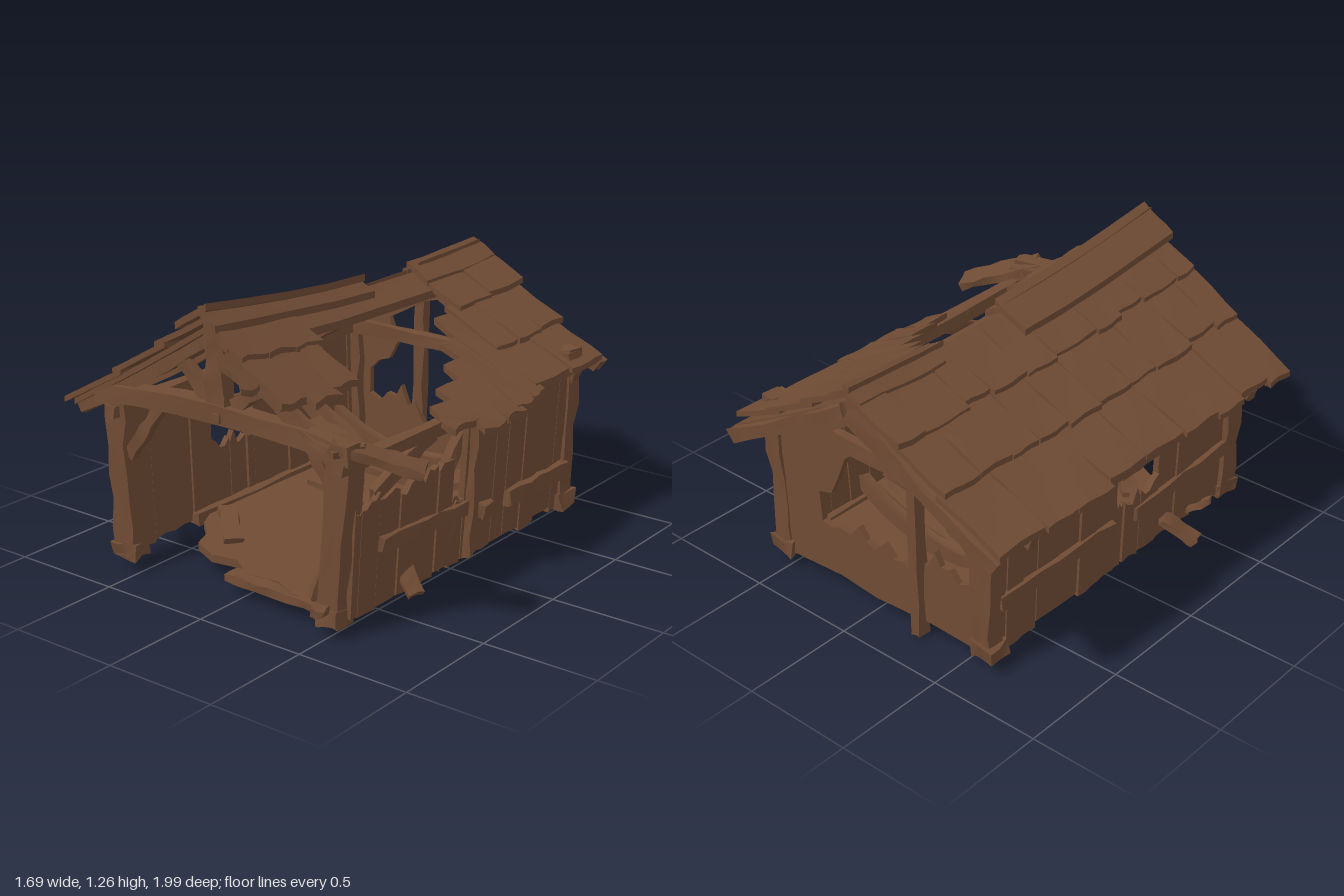
import * as THREE from 'three';

const wood = new THREE.MeshStandardMaterial({ color: 0x6f4b34, side: THREE.DoubleSide });
wood.name = 'weathered brown wood';

export function createModel() {
  const root = new THREE.Group();
  root.name = 'ruinedShed';
  let seed = 7;
  const rnd = () => (seed = (seed * 16807) % 2147483647) / 2147483647;
  const jit = (a) => (rnd() - 0.5) * 2 * a;
  const V = (p) => new THREE.Vector3(...p);

  function add(name, geo) {
    geo.computeVertexNormals();
    const mesh = new THREE.Mesh(geo, wood);
    mesh.name = name;
    root.add(mesh);
  }

  // Move every vertex by a rule
  function warp(geo, rule) {
    const p = geo.attributes.position, v = new THREE.Vector3();
    for (let i = 0; i < p.count; i++) {
      rule(v.fromBufferAttribute(p, i));
      p.setXYZ(i, v.x, v.y, v.z);
    }
    return geo;
  }

  // Rough timber from a to b; bow lifts the middle along world y
  function beam(name, a, b, w, h, bow = 0, rough = 0.005) {
    const A = V(a), B = V(b), d = B.clone().sub(A), len = d.length();
    d.normalize();
    const up = Math.abs(d.y) > 0.95 ? V([0, 0, 1]) : V([0, 1, 0]);
    const x = up.cross(d).normalize(), y = d.clone().cross(x);
    const ph = rnd() * 20;
    const geo = warp(new THREE.BoxGeometry(w, h, len, 2, 1, 6), (v) => {
      const n = (k) => Math.sin(v.x * 91 * k + v.y * 57 + v.z * 23 * k + ph * k);
      v.x += rough * n(1);
      v.y += rough * n(1.7);
      v.z += rough * 1.5 * n(2.6);
    });
    geo.applyMatrix4(new THREE.Matrix4().makeBasis(x, y, d).setPosition(A.clone().add(B).multiplyScalar(0.5)));
    warp(geo, (v) => {
      const s = v.clone().sub(A).dot(d) / len - 0.5;
      v.y += bow * (1 - 4 * s * s);
    });
    add(name, geo);
  }

  // Sagging roof surface: t runs from ridge (0) to eave (1)
  const ridgeX = -0.05;
  const ridgeY = (z) => 1.052 + 0.054 * (z + 0.45) ** 2;
  function roofPoint(side, t, z) {
    const r = ridgeY(z);
    return [ridgeX + side * t * (side < 0 ? 0.77 : 0.69), r - t * (r - 0.685) - 0.008 * Math.sin(Math.PI * Math.min(t, 1))];
  }
  function slab(name, side, t0, t1, z0, z1, lift, thick, tilt = 0, rough = 0) {
    const ph = rnd() * 9;
    add(name, warp(new THREE.BoxGeometry(1, 1, 1, 4, 1, 4), (v) => {
      const s = side * v.x + 0.5;
      const t = t0 + (t1 - t0) * s + rough * Math.sin(v.z * 6 + ph) * s;
      const z = z0 + (z1 - z0) * (v.z + 0.5) + rough * Math.sin(s * 6 + ph);
      const [x, y] = roofPoint(side, t, z);
      v.set(x, y + lift + tilt * s + thick * (v.y + 0.5) + rough * 0.3 * Math.sin(z * 17 + s * 4 + ph), z);
    }));
  }
  // Overlapping courses of broad shingles
  function shingles(side, t0, t1, z0, z1, lift) {
    let z = z0;
    while (z < z1 - 0.02) {
      const e = z1 - z < 0.3 ? z1 : z + 0.13 + rnd() * 0.14;
      slab('roofShingle', side, t0, t1 + jit(0.02), z, e - 0.004, lift + jit(0.004), 0.025, 0.01 + rnd() * 0.01, 0.005);
      z = e;
    }
  }

  // Intact left roof
  slab('leftRoofDeck', -1, 0, 0.97, -0.95, 0.86, -0.015, 0.025);
  shingles(-1, 0.6, 1.01, -0.98, 0.88, 0.008);
  shingles(-1, 0.28, 0.65, -0.97, 0.88, 0.018);
  shingles(-1, 0, 0.34, -0.98, 0.87, 0.026);

  // Right roof: whole at the back, torn open diagonally, remnants at the front
  slab('rightRoofDeck', 1, 0, 0.97, -0.95, -0.5, -0.015, 0.025);
  shingles(1, 0.64, 1.01, -0.92, -0.4, 0.008);
  shingles(1, 0.3, 0.7, -0.95, -0.42, 0.018);
  shingles(1, 0, 0.36, -0.98, -0.46, 0.026);
  [[-0.43, -0.31, 0.34, 1.05], [-0.32, -0.2, 0.5, 1.08], [-0.21, -0.07, 0.64, 1.1], [-0.08, 0.08, 0.76, 1.12], [0.07, 0.23, 0.85, 1.03]]
    .forEach(([z0, z1, t0, t1]) => slab('tornEaveBoard', 1, t0, t1, z0, z1, 0.005, 0.028, 0.008, 0.012));
  slab('frontRoofDeck', 1, 0, 0.53, 0.45, 0.87, -0.01, 0.025);
  [[0.42, 0.58, 0.55], [0.57, 0.74, 0.6], [0.73, 0.88, 0.56]]
    .forEach(([z0, z1, t1]) => {
      slab('frontRoofBoard', 1, 0.22, t1, z0, z1, 0.005, 0.028, 0.008, 0.012);
      slab('frontRoofBoard', 1, 0.02, 0.28, z0 - 0.01, z1, 0.02, 0.025, 0.01, 0.01);
    });
  slab('loosePeakBoard', 1, 0.22, 0.4, 0.82, 0.98, 0.02, 0.025, -0.03, 0.02);
  slab('ridgeStrip', 1, 0, 0.17, -0.5, 0.88, 0.0, 0.035, 0, 0.008);

  // Ridge boards
  slab('ridgeCap', -1, -0.03, 0.18, -0.1, 0.89, 0.058, 0.03, 0, 0.005);
  slab('ridgeCap', 1, -0.02, 0.1, -0.1, 0.9, 0.045, 0.03, 0, 0.005);
  slab('rearRidgeCap', 1, -0.03, 0.14, -0.98, -0.46, 0.042, 0.025, 0, 0.006);
  slab('rearRidgeCap', -1, -0.02, 0.1, -0.97, -0.5, 0.042, 0.025, 0, 0.006);
  beam('ridgeBeam', [ridgeX, ridgeY(-0.9) - 0.05, -0.9], [ridgeX, ridgeY(0.84) - 0.05, 0.84], 0.06, 0.06, -0.035);

  // Rafters and barge boards
  for (const side of [-1, 1]) {
    for (const z of [-0.965, -0.76, 0.66, 0.81]) {
      const top = roofPoint(side, 0.02, z), end = roofPoint(side, z < 0 || side < 0 ? 0.97 : 0.86, z);
      beam(z < -0.9 ? 'bargeBoard' : 'rafter', [top[0], top[1] - 0.03, z], [end[0], end[1] - 0.03, z], 0.05, 0.06, -0.01);
    }
  }
  beam('insideRafter', [-0.08, 1.01, 0.1], [-0.6, 0.69, 0.1], 0.045, 0.045);
  beam('insideRafter', [-0.08, 0.99, -0.35], [-0.6, 0.69, -0.35], 0.045, 0.045);

  // Corner posts with foot blocks
  [[-0.575, -0.605, 0.78, 0.1], [0.49, 0.56, 0.78, 0.1], [-0.58, -0.595, -0.775, 0.08], [0.535, 0.57, -0.775, 0.08]].forEach(([xb, xt, z, w]) => {
    beam('cornerPost', [xb, 0.05, z], [xt, 0.78, z], w, w, 0, 0.007);
    beam('footBlock', [xb - 0.055, 0.075, z], [xb + 0.055, 0.08, z], 0.11, 0.07, 0, 0.008);
    beam('postCap', [xt - 0.05, 0.74, z + 0.015], [xt + 0.05, 0.75, z + 0.015], 0.1, 0.06);
  });

  // Front truss
  beam('frontTieBeam', [-0.67, 0.76, 0.82], [0.62, 0.77, 0.82], 0.08, 0.075, 0.035);
  beam('kingPost', [-0.025, 0.81, 0.82], [-0.03, 1.13, 0.82], 0.09, 0.07);
  beam('trussStrut', [-0.08, 0.83, 0.8], [-0.25, 0.98, 0.8], 0.05, 0.055);
  beam('trussStrut', [0.03, 0.83, 0.8], [0.2, 0.95, 0.8], 0.05, 0.055);
  beam('kneeBrace', [-0.55, 0.5, 0.79], [-0.36, 0.76, 0.79], 0.045, 0.05);
  beam('kneeBrace', [0.51, 0.58, 0.79], [0.4, 0.76, 0.79], 0.045, 0.05);
  beam('peg', [-0.01, 0.79, 0.84], [-0.01, 0.79, 0.87], 0.035, 0.035, 0, 0.002);

  // Eave beams, sills and rear frame
  beam('leftEaveBeam', [-0.6, 0.69, -0.84], [-0.6, 0.69, 0.86], 0.06, 0.055);
  beam('rightEaveBeam', [0.575, 0.7, -0.84], [0.575, 0.715, 0.86], 0.06, 0.055, -0.01);
  beam('leftSill', [-0.57, 0.08, -0.8], [-0.57, 0.08, 0.4], 0.05, 0.05);
  beam('rightSill', [0.525, 0.08, -0.8], [0.525, 0.08, 0.78], 0.05, 0.05);
  beam('rearTieBeam', [-0.58, 0.69, -0.745], [0.55, 0.69, -0.745], 0.05, 0.06);
  beam('rearStud', [-0.245, 0, -0.81], [-0.245, 0.93, -0.825], 0.05, 0.05);

  // Rear gable wall with a ragged hole
  const pts = (list) => list.map(([x, y]) => new THREE.Vector2(x, y));
  const gable = new THREE.Shape(pts([[-0.6, 0.06], [-0.3, 0.07], [0, 0.05], [0.2, 0.07], [0.55, 0.05], [0.58, 0.71], [0.25, 0.86], [-0.05, 1.04], [-0.35, 0.87], [-0.61, 0.73]]));
  gable.holes.push(new THREE.Path(pts([
    [-0.51, 0.36], [-0.45, 0.33], [-0.41, 0.38], [-0.36, 0.37], [-0.33, 0.43], [-0.29, 0.34], [-0.25, 0.36], [-0.2, 0.27], [-0.15, 0.3],
    [-0.1, 0.29], [-0.05, 0.34], [0, 0.29], [0.05, 0.31], [0.09, 0.36], [0.14, 0.3], [0.2, 0.31], [0.24, 0.29], [0.3, 0.3], [0.31, 0.44], [0.24, 0.46],
    [0.2, 0.54], [0.15, 0.66], [0.24, 0.75], [0.1, 0.84], [-0.05, 0.9], [-0.2, 0.86], [-0.4, 0.75], [-0.35, 0.64], [-0.4, 0.55], [-0.46, 0.53], [-0.51, 0.48]])));
  add('rearGableWall', new THREE.ExtrudeGeometry(gable, { depth: 0.028, bevelEnabled: false }).translate(0, 0, -0.805));

  // Side wall boards with splintered tops
  function board(side, z0, z1, top, jag) {
    const y0 = 0.06 + jit(0.015), w = z1 - z0 - 0.004;
    const outline = [[z0, y0], [z0 + w * 0.5, y0 + jit(0.012)], [z0 + w, y0 + jit(0.01)]];
    for (let i = 4; i >= 0; i--) outline.push([z0 + (w * i) / 4, top + jit(jag)]);
    const geo = new THREE.ExtrudeGeometry(new THREE.Shape(pts(outline)), { depth: 0.028, bevelEnabled: false });
    geo.rotateY(-Math.PI / 2);
    const out = jit(0.006);
    warp(geo, (v) => { v.x += side < 0 ? -0.58 - 0.03 * v.y + out : 0.558 + 0.06 * v.y + out; });
    add(side < 0 ? 'leftWallBoard' : 'rightWallBoard', geo);
  }
  const leftTop = (z) => (z > 0 && z < 0.22 ? 0.37 : z > -0.46 && z < -0.26 ? 0.52 : 0.69);
  const rightTop = (z) => (z < 0.03 ? 0.68 : z < 0.17 ? 0.34 : 0.52);
  for (const [side, topAt] of [[-1, leftTop], [1, rightTop]]) {
    for (let z = -0.8, e; z < 0.76; z = e) {
      e = Math.min(z + 0.09 + rnd() * 0.05, 0.77);
      if (z < 0.03 && e > 0.03) e = 0.03;
      const top = topAt((z + e) / 2);
      board(side, z, e, top, top > 0.6 ? 0.006 : 0.035);
    }
  }
  beam('rightFrontRail', [0.585, 0.33, 0.6], [0.585, 0.3, 0.03], 0.035, 0.06);
  beam('rightRearRail', [0.585, 0.24, -0.29], [0.585, 0.24, -0.75], 0.04, 0.07);
  beam('rightWallBrace', [0.56, 0.53, 0.62], [0.57, 0.68, 0.25], 0.03, 0.06);
  beam('rightLeaningBoard', [0.55, 0.08, 0.2], [0.57, 0.34, 0.06], 0.03, 0.06);
  beam('rightBatten', [0.57, 0.07, 0.0], [0.605, 0.67, 0.0], 0.06, 0.025);
  beam('rightPatch', [0.58, 0.21, -0.13], [0.585, 0.27, -0.13], 0.03, 0.07);
  beam('leftRail', [-0.62, 0.3, -0.75], [-0.62, 0.29, -0.05], 0.035, 0.06);
  beam('leftRail', [-0.62, 0.28, 0.1], [-0.62, 0.31, 0.75], 0.035, 0.06);
  beam('leftUpperRail', [-0.62, 0.52, 0.0], [-0.62, 0.54, 0.3], 0.03, 0.05);

  // Floor slab with its front left corner broken away
  const floor = new THREE.Shape(pts([[-0.57, 0.79], [-0.57, -0.28], [-0.5, -0.42], [-0.41, -0.5], [-0.37, -0.6], [-0.24, -0.66], [-0.12, -0.64], [0, -0.72], [0.15, -0.7], [0.27, -0.76], [0.4, -0.72], [0.52, -0.76], [0.54, 0.79]]));
  add('floor', new THREE.ExtrudeGeometry(floor, { depth: 0.035, bevelEnabled: false }).rotateX(-Math.PI / 2).translate(0, 0.055, 0));
  beam('frontThreshold', [-0.08, 0.07, 0.73], [0.42, 0.07, 0.75], 0.07, 0.035);

  // Fallen timbers inside
  beam('saggingPlank', [-0.52, 0.32, -0.55], [0.36, 0.32, -0.5], 0.05, 0.06, -0.12);
  beam('saggingPlank', [-0.5, 0.22, -0.42], [0.38, 0.24, -0.35], 0.1, 0.03, -0.07);
  for (let i = 0; i < 9; i++) {
    const x = 0.25 + jit(0.15), z = -0.32 + i * 0.1, a = jit(1.3), l = 0.1 + rnd() * 0.12;
    const dx = Math.cos(a) * l, dz = Math.sin(a) * l;
    beam('fallenPlank', [x - dx, 0.1 + rnd() * 0.03, z - dz], [Math.min(x + dx, 0.5), 0.12 + rnd() * 0.06, z + dz], 0.07, 0.022);
  }
  beam('fallenPlank', [-0.42, 0.16, 0.36], [-0.24, 0.1, 0.52], 0.08, 0.025);
  beam('fallenPlank', [-0.4, 0.12, -0.2], [0.1, 0.13, -0.1], 0.07, 0.025);
  [[0.36, 0.75, 0.44, 0.4], [0.4, 0.68, 0.47, 0.58], [0.44, 0.55, 0.52, 0.5], [0.34, 0.6, 0.42, 0.3], [0.42, 0.4, 0.52, 0.46]]
    .forEach(([x, z, tx, ty]) => beam('leaningPlank', [x, 0.09, z], [tx, ty, z - 0.08], 0.05, 0.025));
  beam('fallenRafter', [0.05, 0.13, 0.26], [0.3, 0.25, 0.0], 0.07, 0.04);
  beam('fallenRafter', [0.36, 0.12, 0.05], [0.46, 0.65, -0.2], 0.06, 0.04);
  beam('brokenBoard', [0.08, 0.12, -0.25], [0.4, 0.28, -0.3], 0.11, 0.025);
  beam('brokenBoard', [0.35, 0.3, 0.52], [0.53, 0.36, 0.5], 0.08, 0.03);

  // Loose planks outside and at the front corner
  beam('hangingEavePlank', [0.36, 0.82, 0.77], [0.6, 0.77, 0.82], 0.15, 0.03);
  beam('hangingEavePlank', [0.52, 0.8, 0.83], [0.81, 0.69, 0.63], 0.14, 0.035);
  beam('outerScrap', [0.52, 0.17, 0.4], [0.64, 0.08, 0.44], 0.08, 0.025);
  beam('outerScrap', [-0.62, 0.16, 0.3], [-0.76, 0.07, 0.36], 0.08, 0.03);
  beam('outerScrap', [-0.62, 0.1, 0.5], [-0.71, 0.17, 0.52], 0.05, 0.02);
  beam('outerScrap', [0.46, 0.11, 0.74], [0.5, 0.12, 0.89], 0.06, 0.03);
  return root;
}
